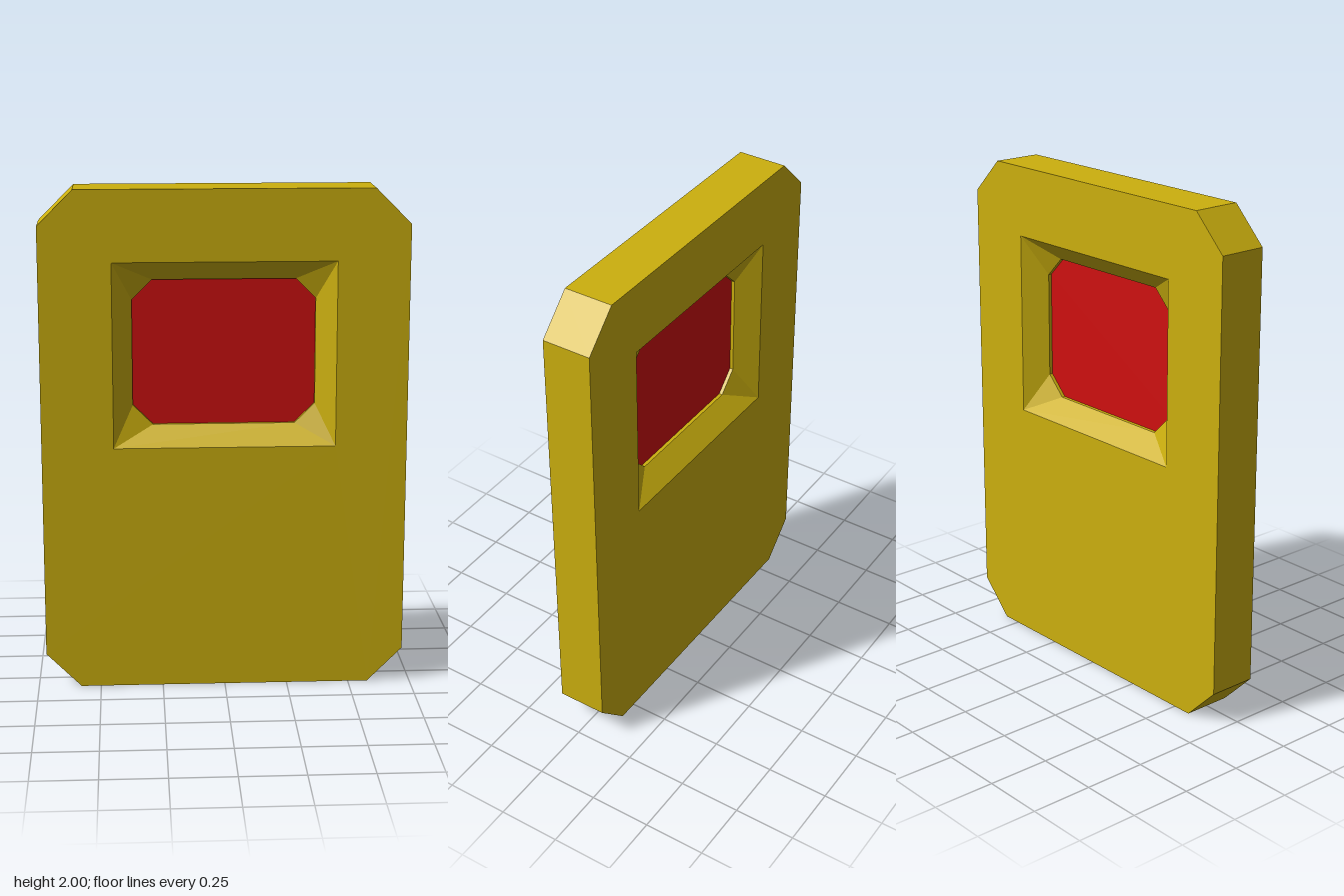
import * as THREE from 'three';

const HALF_DEPTH = 0.0985, RIM_Z = 0.02, PANEL_Z = 0.006;

// Counter-clockwise rectangle with cut corners, always eight points (cut 0 doubles them)
function cutRect(halfW, y0, y1, cut) {
  const w = halfW, c = cut;
  return [
    [-w + c, y0], [w - c, y0], [w, y0 + c], [w, y1 - c],
    [w - c, y1], [-w + c, y1], [-w, y1 - c], [-w, y0 + c],
  ].map(([x, y]) => new THREE.Vector2(x, y));
}

// Flat-shaded band joining loop a at depth za to loop b at depth zb
function band(a, za, b, zb) {
  const pos = [];
  const put = (p, z) => pos.push(p.x, p.y, z);
  for (let i = 0; i < a.length; i++) {
    const j = (i + 1) % a.length;
    if (!a[i].equals(a[j])) {
      put(a[i], za); put(a[j], za); put(b[j], zb);
    }
    if (!b[i].equals(b[j])) {
      put(a[i], za); put(b[j], zb); put(b[i], zb);
    }
  }
  const geo = new THREE.BufferGeometry();
  geo.setAttribute('position', new THREE.Float32BufferAttribute(pos, 3));
  geo.computeVertexNormals();
  return geo;
}

export function createModel() {
  const model = new THREE.Group();
  model.name = 'slabWithWindow';
  const gold = new THREE.MeshStandardMaterial({ color: 0xccb00e, flatShading: true });
  const red = new THREE.MeshStandardMaterial({ color: 0xd01010, flatShading: true });

  const outline = cutRect(0.718, 0, 2, 0.139);
  const opening = cutRect(0.436, 0.987, 1.72, 0);
  const pane = cutRect(0.359, 1.065, 1.642, 0.079);

  const add = (parent, name, geo, mat, z = 0) => {
    const mesh = new THREE.Mesh(geo, mat);
    mesh.name = name;
    mesh.position.z = z;
    parent.add(mesh);
  };

  // Outer edge of the slab
  add(model, 'slabEdge', band(outline, -HALF_DEPTH, outline, HALF_DEPTH), gold);

  // Face with a rectangular opening
  const face = new THREE.Shape(outline);
  face.holes.push(new THREE.Path([opening[0], opening[2], opening[4], opening[6]]));
  const faceGeo = new THREE.ShapeGeometry(face);
  const bevelGeo = band(opening, HALF_DEPTH, pane, RIM_Z);
  const lipGeo = band(pane, RIM_Z, pane, PANEL_Z);
  const paneGeo = new THREE.ShapeGeometry(new THREE.Shape(pane));

  // Identical front and back sides
  for (const [side, turn] of [['front', 0], ['back', Math.PI]]) {
    const half = new THREE.Group();
    half.name = side + 'Side';
    half.rotation.y = turn;
    add(half, side + 'Face', faceGeo, gold, HALF_DEPTH);
    add(half, side + 'WindowBevel', bevelGeo, gold);
    add(half, side + 'WindowLip', lipGeo, gold);
    add(half, side + 'WindowPane', paneGeo, red, PANEL_Z);
    model.add(half);
  }
  return model;
}
